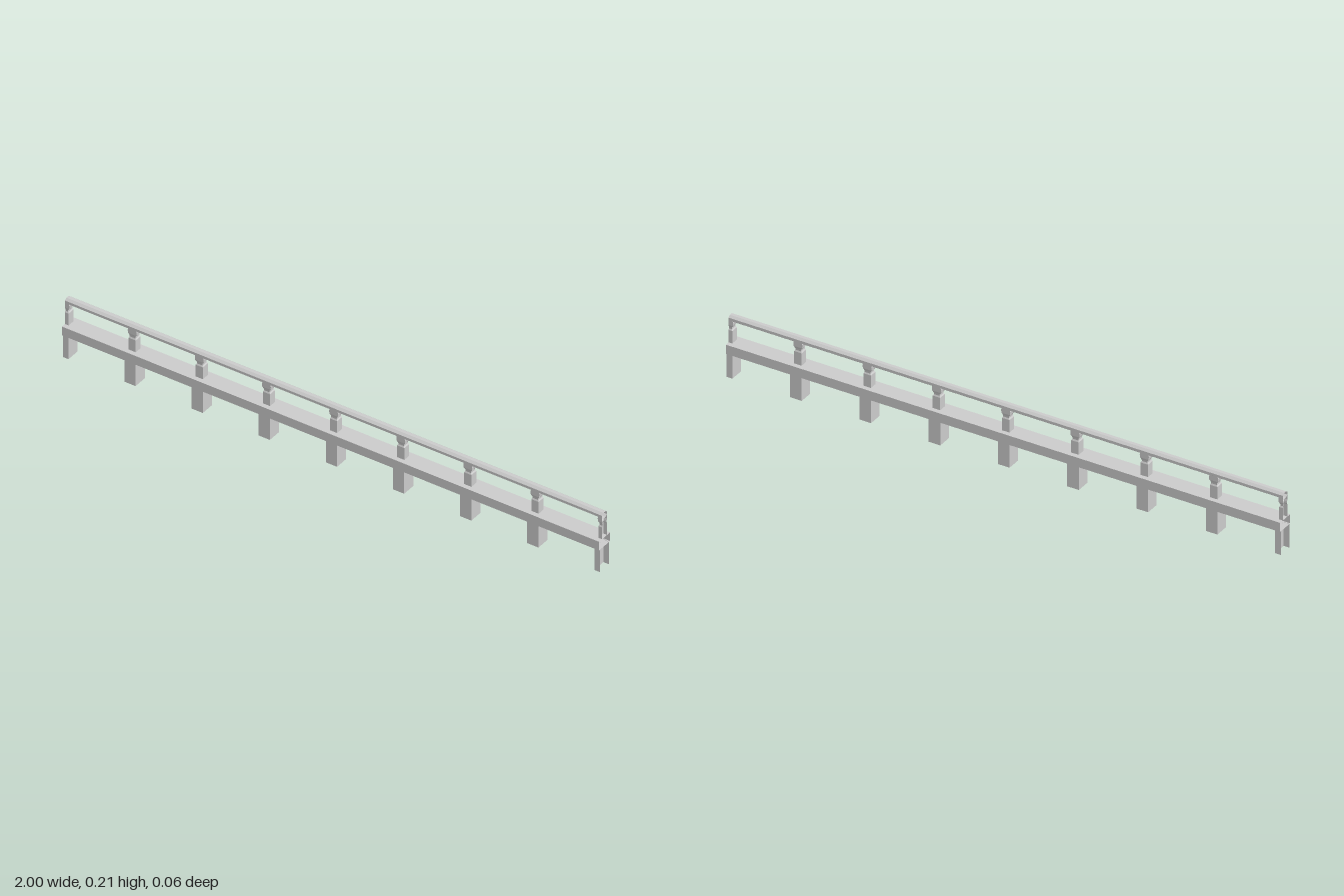
import * as THREE from 'three';

const material = new THREE.MeshStandardMaterial({ color: 0xcccccc, flatShading: true, side: THREE.DoubleSide });

// Open square-section column from [y, half width x, half depth z] rings,
// cut off where it passes the ends of the fence at x = -1 and x = 1.
function column(name, cx, rings) {
  const pos = [];
  const corner = ([y, hx, hz], i) => {
    const [sx, sz] = [[-1, 1], [1, 1], [1, -1], [-1, -1]][i % 4];
    return [THREE.MathUtils.clamp(cx + sx * hx, -1, 1), y, sz * hz];
  };
  for (let r = 0; r < rings.length - 1; r++) {
    for (let i = 0; i < 4; i++) {
      const a = corner(rings[r], i), b = corner(rings[r], i + 1);
      const c = corner(rings[r + 1], i + 1), d = corner(rings[r + 1], i);
      // the cut plane stays open
      if ([a, b, c, d].every((p) => Math.abs(p[0]) === 1)) continue;
      pos.push(...a, ...b, ...c, ...a, ...c, ...d);
    }
  }
  const geometry = new THREE.BufferGeometry();
  geometry.setAttribute('position', new THREE.Float32BufferAttribute(pos, 3));
  geometry.computeVertexNormals();
  const mesh = new THREE.Mesh(geometry, material);
  mesh.name = name;
  return mesh;
}

// Open-ended tube along x with an elliptical polygon section
function bar(name, sides, y, halfHeight, halfDepth) {
  const geometry = new THREE.CylinderGeometry(1, 1, 2, sides, 1, true);
  geometry.rotateY(Math.PI / sides);
  geometry.rotateZ(Math.PI / 2);
  const k = Math.cos(Math.PI / sides);
  geometry.scale(1, halfHeight / k, halfDepth / k);
  geometry.translate(0, y, 0);
  const mesh = new THREE.Mesh(geometry, material);
  mesh.name = name;
  return mesh;
}

export function createModel() {
  const fence = new THREE.Group();
  fence.name = 'railing';

  // Long beam and handrail, open at both ends so sections can join
  fence.add(bar('beam', 4, 0.102, 0.0165, 0.03));
  fence.add(bar('handrail', 8, 0.203, 0.011, 0.014));

  // Posts below and balusters above, at equal spacing; the end ones are halves
  const footRings = [[0, 0.021, 0.025], [0.086, 0.021, 0.025]];
  const balusterRings = [
    [0.118, 0.0135, 0.0135],
    [0.163, 0.0135, 0.0135],
    [0.168, 0.0105, 0.011],
    [0.174, 0.0105, 0.0115],
    [0.181, 0.0155, 0.0135],
    [0.192, 0.0165, 0.0135],
    [0.203, 0.0135, 0.0135],
  ];
  for (let i = 0; i <= 8; i++) {
    const x = -1 + i * 0.25;
    fence.add(column('post', x, footRings));
    fence.add(column('baluster', x, balusterRings));
  }
  return fence;
}
